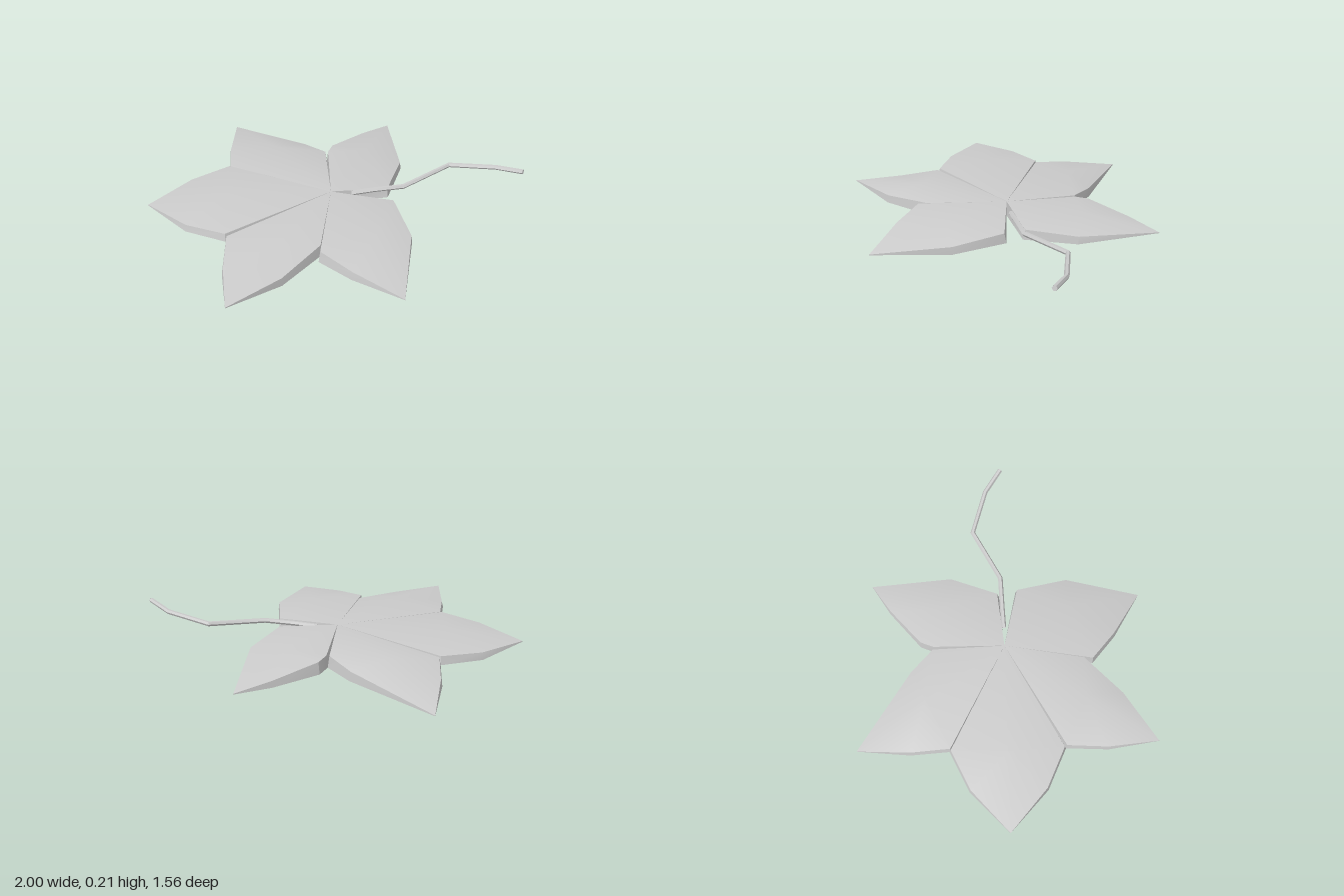
import * as THREE from 'three';
import { toCreasedNormals } from 'three/addons/utils/BufferGeometryUtils.js';

const material = new THREE.MeshStandardMaterial({ color: 0xcccccc, side: THREE.DoubleSide });

// Each lobe: a raised middle [x, z, top, bottom] and its outline, which starts at the leaf's
// centre and runs counterclockwise from above
const CENTRE = [-0.03, 0, 0.115, 0.03];
const LOBES = {
  leftLobe: {
    mid: [-0.6, 0, 0.13, 0.02],
    outline: [CENTRE, [-0.58, -0.3, 0.1, 0.055], [-0.79, -0.2, 0.088, 0.05], [-1, 0, 0.077, 0.073],
      [-0.79, 0.2, 0.088, 0.05], [-0.58, 0.3, 0.1, 0.055]],
  },
  backLeftLobe: {
    mid: [-0.32, -0.42, 0.13, 0],
    outline: [CENTRE, [-0.03, -0.38, 0.11, 0.045], [-0.15, -0.5, 0.09, 0.04], [-0.56, -0.78, 0.042, 0.038],
      [-0.59, -0.5, 0.075, 0.042], [-0.58, -0.29, 0.095, 0.055]],
  },
  backRightLobe: {
    mid: [0.19, -0.36, 0.125, 0.012],
    outline: [CENTRE, [0.28, -0.02, 0.1, 0.045], [0.385, -0.28, 0.085, 0.045], [0.36, -0.72, 0.052, 0.048],
      [0.2, -0.62, 0.075, 0.042], [0, -0.45, 0.105, 0.04], [-0.03, -0.38, 0.11, 0.045]],
  },
  frontRightLobe: {
    mid: [0.18, 0.36, 0.125, 0.012],
    outline: [CENTRE, [-0.12, 0.47, 0.11, 0.045], [0.03, 0.6, 0.085, 0.04], [0.27, 0.75, 0.042, 0.038],
      [0.36, 0.35, 0.085, 0.045], [0.3, 0.07, 0.1, 0.045]],
  },
  frontLeftLobe: {
    mid: [-0.32, 0.42, 0.13, 0],
    outline: [CENTRE, [-0.58, 0.3, 0.095, 0.055], [-0.59, 0.52, 0.075, 0.042], [-0.56, 0.78, 0.077, 0.073],
      [-0.3, 0.62, 0.085, 0.042], [-0.1, 0.42, 0.11, 0.045]],
  },
};

// Domed top and bottom fans joined by a wall that leans slightly inwards
function lobeGeometry({ mid, outline }) {
  const bottom = ([x, z, , y]) => [x, y, z];
  const top = (p) => {
    const inset = p === CENTRE || p[2] - p[3] < 0.01 ? 0 : 0.03;
    return [p[0] + (mid[0] - p[0]) * inset, p[2], p[1] + (mid[1] - p[1]) * inset];
  };
  const midTop = [mid[0], mid[2], mid[1]];
  const pos = [];
  outline.forEach((a, i) => {
    const b = outline[(i + 1) % outline.length];
    pos.push(...midTop, ...top(a), ...top(b));
    pos.push(...bottom(mid), ...bottom(b), ...bottom(a));
    pos.push(...bottom(a), ...bottom(b), ...top(b));
    pos.push(...bottom(a), ...top(b), ...top(a));
  });
  const geometry = new THREE.BufferGeometry();
  geometry.setAttribute('position', new THREE.Float32BufferAttribute(pos, 3));
  return toCreasedNormals(geometry, 0.45);
}

export function createModel() {
  const model = new THREE.Group();
  model.name = 'leaf';

  for (const [name, lobe] of Object.entries(LOBES)) {
    const mesh = new THREE.Mesh(lobeGeometry(lobe), material);
    mesh.name = name;
    model.add(mesh);
  }

  // Kinked stem, with rings only at its bends
  const points = [[0.08, 0.1, 0], [0.2, 0.112, -0.005], [0.36, 0.122, -0.01], [0.63, 0.147, -0.155],
    [0.87, 0.173, -0.08], [0.995, 0.2, 0.008]].map((p) => new THREE.Vector3(...p));
  const path = new THREE.CatmullRomCurve3(points);
  path.getUtoTmapping = (u) => u;
  const stem = new THREE.Mesh(
    toCreasedNormals(new THREE.TubeGeometry(path, points.length - 1, 0.013, 6), 0.6), material);
  stem.name = 'stem';
  model.add(stem);

  // Cut end of the stem
  const stemEnd = new THREE.Mesh(new THREE.CircleGeometry(0.013, 6), material);
  stemEnd.name = 'stemEnd';
  stemEnd.position.copy(points.at(-1));
  stemEnd.lookAt(points.at(-1).clone().add(path.getTangent(1)));
  model.add(stemEnd);

  return model;
}
